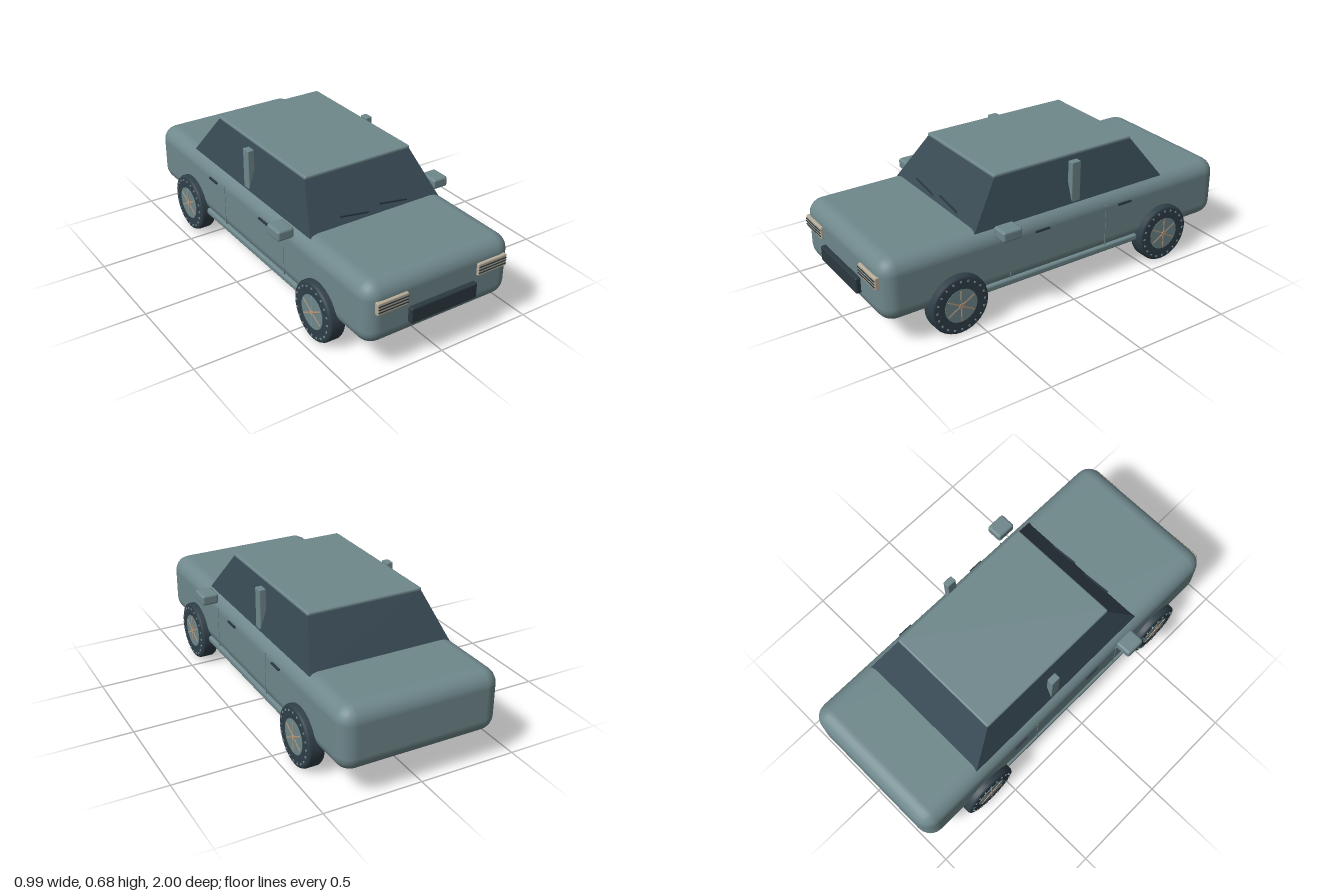
import * as THREE from 'three';
import { RoundedBoxGeometry } from 'three/addons/geometries/RoundedBoxGeometry.js';

const paint = (name, color) => {
  const m = new THREE.MeshStandardMaterial({ color });
  m.name = name;
  return m;
};

export function createModel() {
  const body = paint('body paint', 0x6f888c);
  const glass = paint('glass', 0x364852);
  const rubber = paint('rubber', 0x303f48);
  const trim = paint('dark trim', 0x2b3940);
  const lamp = paint('lamp', 0xb8ad9a);
  const spokeMetal = paint('spoke metal', 0xb8977a);

  const car = new THREE.Group();
  car.name = 'car';
  const add = (name, geo, mat, x, y, z, parent = car) => {
    const m = new THREE.Mesh(geo, mat);
    m.name = name;
    m.position.set(x, y, z);
    parent.add(m);
    return m;
  };
  const box = (w, h, d) => new THREE.BoxGeometry(w, h, d);
  const round = (w, h, d, r, s = 3) => new RoundedBoxGeometry(w, h, d, s, r);

  // Lower body
  add('body', round(0.82, 0.32, 1.975, 0.08), body, 0, 0.305, -0.0125);

  // Tapered glass cabin
  const cabin = box(2, 1, 2);
  const p = cabin.attributes.position;
  for (let i = 0; i < p.count; i++) {
    const top = p.getY(i) > 0, front = p.getZ(i) > 0;
    const z = top ? (front ? 0.325 : -0.48) : (front ? 0.485 : -0.637);
    p.setXYZ(i, Math.sign(p.getX(i)) * (top ? 0.3 : 0.373), top ? 0.67 : 0.45, z);
  }
  cabin.computeVertexNormals();
  add('cabinGlass', cabin, glass, 0, 0, 0);
  add('roof', round(0.605, 0.021, 0.815, 0.009, 2), body, 0, 0.6735, -0.076);

  // Front plate and wipers
  add('frontPlate', round(0.373, 0.08, 0.04, 0.008, 2), trim, 0, 0.26, 0.98);
  for (const x of [-0.115, 0.11]) {
    const wiper = add('wiper', box(0.162, 0.007, 0.008), trim, x, 0.492, 0.462);
    wiper.rotation.z = -0.15;
  }

  // Wheel: rounded tyre, hub, spokes and sidewall studs; outer face towards +x
  const tyreProfile = [
    [0.08, -0.041], [0.137, -0.043], [0.147, -0.039], [0.152, -0.029],
    [0.152, 0.029], [0.147, 0.039], [0.137, 0.043], [0.08, 0.041],
  ].map(([r, y]) => new THREE.Vector2(r, y));
  const tyreGeo = new THREE.LatheGeometry(tyreProfile, 32).rotateZ(-Math.PI / 2);
  const hubGeo = new THREE.CylinderGeometry(0.086, 0.086, 0.087, 32).rotateZ(Math.PI / 2);
  const capGeo = new THREE.CylinderGeometry(0.013, 0.013, 0.006, 12).rotateZ(Math.PI / 2);
  const spokeGeo = box(0.005, 0.16, 0.006);
  const studGeo = box(0.008, 0.009, 0.009);
  const makeWheel = () => {
    const wheel = new THREE.Group();
    wheel.name = 'wheel';
    add('tyre', tyreGeo, rubber, 0, 0, 0, wheel);
    add('hub', hubGeo, body, 0, 0, 0, wheel);
    add('hubCap', capGeo, spokeMetal, 0.045, 0, 0, wheel);
    for (let i = 0; i < 3; i++) {
      add('spoke', spokeGeo, spokeMetal, 0.0435, 0, 0, wheel).rotation.x = (i * Math.PI) / 3;
    }
    for (let i = 0; i < 20; i++) {
      const a = (i * Math.PI) / 10;
      const stud = add('stud', studGeo, body, 0.043, Math.cos(a) * 0.127, Math.sin(a) * 0.127, wheel);
      stud.rotation.x = a;
    }
    return wheel;
  };

  // Paired parts on both sides
  for (const s of [1, -1]) {
    for (const z of [0.605, -0.615]) {
      const wheel = makeWheel();
      wheel.position.set(s * 0.402, 0.154, z);
      if (s < 0) wheel.rotation.y = Math.PI;
      car.add(wheel);
    }
    add('mirror', round(0.088, 0.055, 0.106, 0.013, 2), body, s * 0.451, 0.462, 0.352);
    add('doorPillar', round(0.036, 0.215, 0.052, 0.005, 1), body, s * 0.352, 0.558, -0.096);
    add('sill', round(0.03, 0.036, 0.92, 0.012, 2), body, s * 0.4, 0.165, -0.005);

    // Doors: seams and handles
    for (const z of [0.31, -0.255]) {
      add('doorSeam', box(0.006, 0.22, 0.005), body, s * 0.409, 0.295, z);
    }
    for (const z of [0.13, -0.37]) {
      add('doorHandle', box(0.02, 0.009, 0.08), trim, s * 0.408, 0.389, z);
    }

    // Headlamp with dark bars
    add('headlamp', round(0.167, 0.064, 0.05, 0.006, 2), lamp, s * 0.279, 0.355, 0.963);
    for (const y of [0.34, 0.355, 0.37]) {
      add('headlampBar', box(0.16, 0.005, 0.006), trim, s * 0.279, y, 0.988);
    }
  }
  return car;
}
